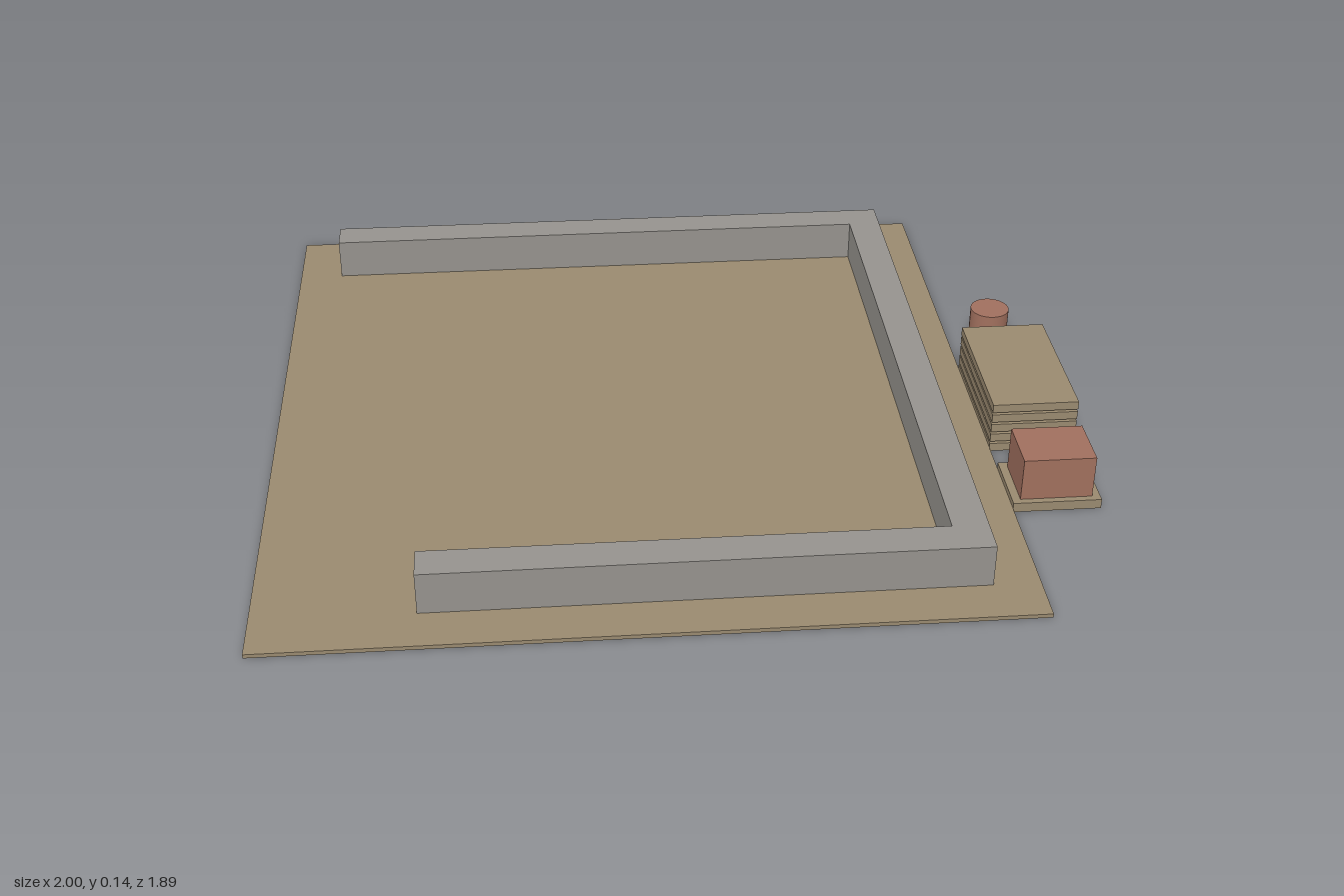
import * as THREE from 'three';

export function createModel() {
  const model = new THREE.Group();
  const earth = new THREE.MeshStandardMaterial({ color: 0x9a8a70 });
  earth.name = 'earthAndTimber';
  const concrete = new THREE.MeshStandardMaterial({ color: 0x96938e });
  concrete.name = 'concrete';
  const clay = new THREE.MeshStandardMaterial({ color: 0xa1705e });
  clay.name = 'clay';

  const add = (name, geometry, material) => {
    const mesh = new THREE.Mesh(geometry, material);
    mesh.name = name;
    model.add(mesh);
    return mesh;
  };
  // Box given by its limits on each axis
  const box = (name, [x0, x1], [y0, y1], [z0, z1], material) =>
    add(name, new THREE.BoxGeometry(x1 - x0, y1 - y0, z1 - z0), material)
      .position.set((x0 + x1) / 2, (y0 + y1) / 2, (z0 + z1) / 2);

  // Ground slab
  box('groundSlab', [-1, 0.785], [0, 0.01], [-0.945, 0.945], earth);

  // Three-sided wall, one outline seen from above (shape y is -z)
  const outline = [
    [-0.885, 0.835], [-0.885, 0.748], [0.588, 0.748], [0.588, -0.744],
    [-0.627, -0.744], [-0.627, -0.831], [0.674, -0.831], [0.674, 0.835],
  ].map(([x, y]) => new THREE.Vector2(x, y));
  const wall = new THREE.ExtrudeGeometry(new THREE.Shape(outline), { depth: 0.107, bevelEnabled: false });
  wall.rotateX(-Math.PI / 2);
  add('lowWall', wall, concrete).position.y = 0.01;

  // Stack of five boards with narrow gaps
  for (let i = 0; i < 5; i++) {
    const y = i * 0.0283;
    box('stackedBoard' + (i + 1), [0.785, 1], [y, y + 0.022], [-0.105, 0.278], earth);
  }

  // Brick block on its pallet
  box('pallet', [0.785, 1], [0, 0.025], [0.368, 0.542], earth);
  box('brickBlock', [0.805, 0.98], [0.025, 0.135], [0.385, 0.526], clay);

  // Barrel
  add('barrel', new THREE.CylinderGeometry(0.051, 0.051, 0.108, 32), clay).position.set(0.892, 0.054, -0.248);

  return model;
}
